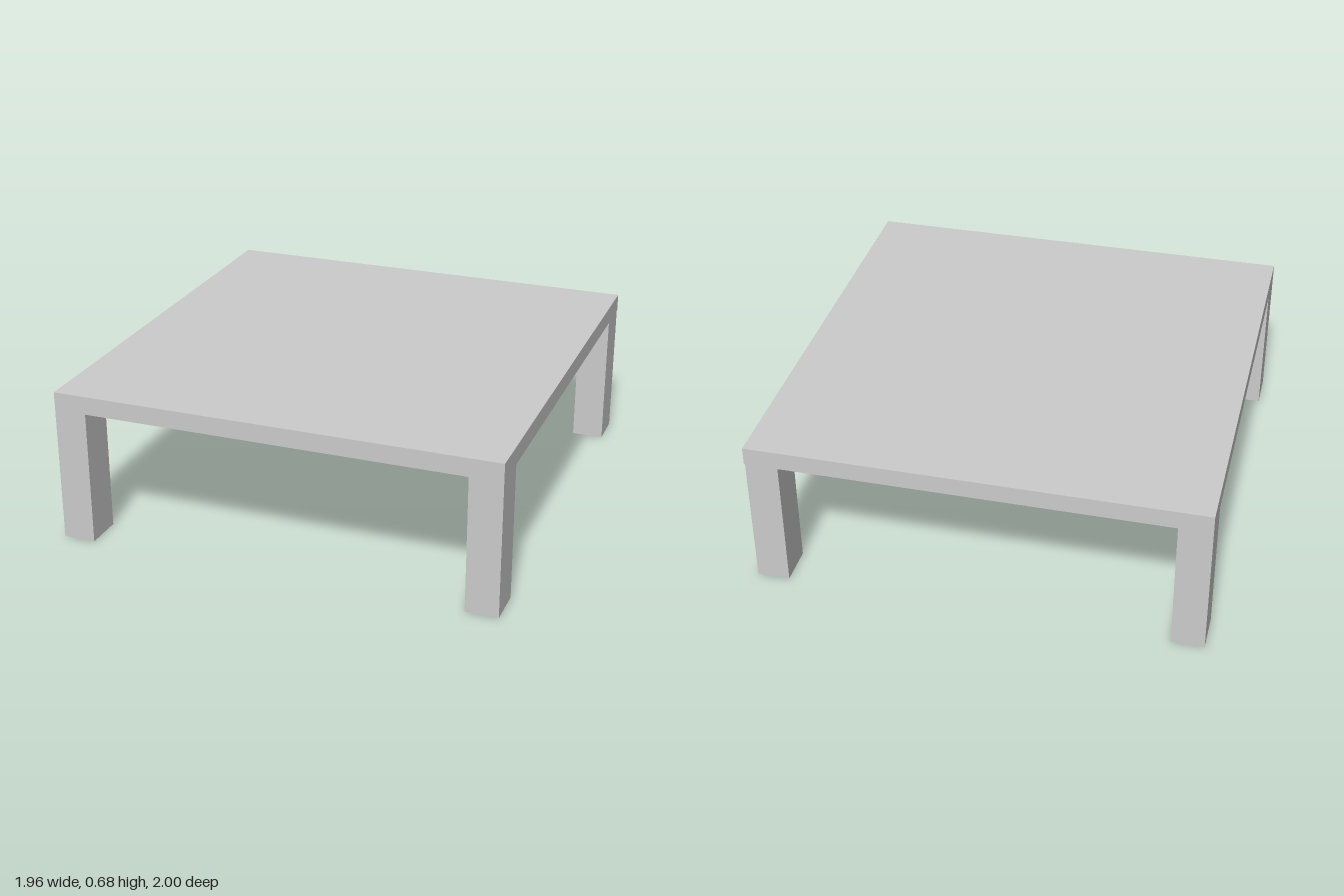
import * as THREE from 'three';

const WIDTH = 1.955, DEPTH = 2, HEIGHT = 0.68, SLAB = 0.08;
const LEG_W = 0.142, LEG_D = 0.172;

export function createModel() {
  const group = new THREE.Group();
  const material = new THREE.MeshStandardMaterial({ color: 0xcccccc, flatShading: true });

  function addBox(name, w, h, d, x, y, z) {
    const mesh = new THREE.Mesh(new THREE.BoxGeometry(w, h, d), material);
    mesh.name = name;
    mesh.position.set(x, y, z);
    group.add(mesh);
  }

  // Flat slab on top
  addBox('tableTop', WIDTH, SLAB, DEPTH, 0, HEIGHT - SLAB / 2, 0);

  // Four corner legs; the back left one is set in slightly from the back edge
  const legH = HEIGHT - SLAB;
  for (const [name, sx, sz, inset] of [
    ['frontLeftLeg', 1, 1, 0],
    ['frontRightLeg', -1, 1, 0],
    ['backLeftLeg', 1, -1, 0.01],
    ['backRightLeg', -1, -1, 0],
  ]) {
    addBox(name, LEG_W, legH, LEG_D,
      sx * (WIDTH - LEG_W) / 2, legH / 2, sz * ((DEPTH - LEG_D) / 2 - inset));
  }

  return group;
}
